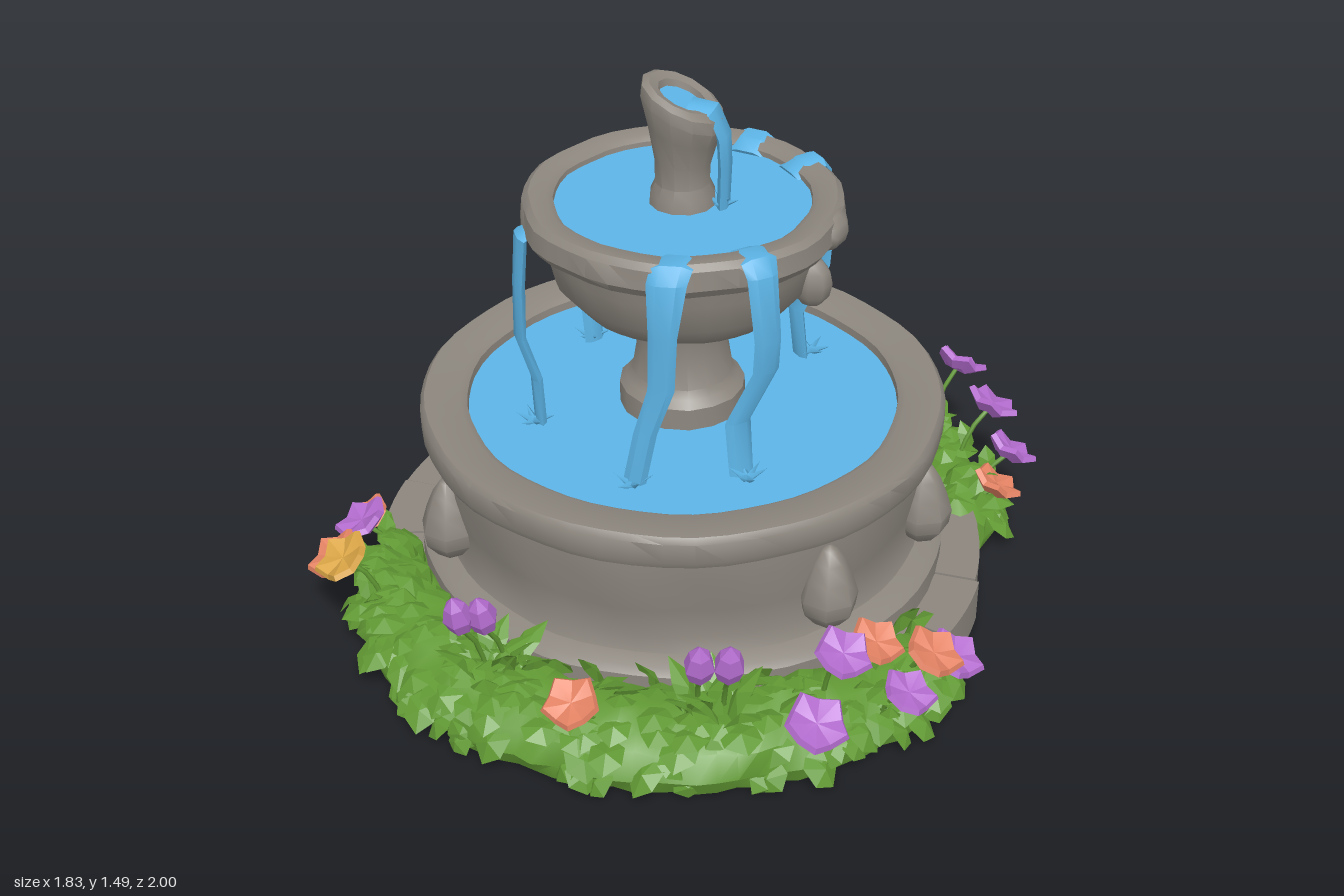
import * as THREE from 'three';
import { mergeGeometries, toCreasedNormals } from 'three/addons/utils/BufferGeometryUtils.js';

const { cos, sin, PI } = Math;
const mat = (name, color, side = THREE.FrontSide) => {
  const m = new THREE.MeshStandardMaterial({ color, side });
  m.name = name;
  return m;
};
const V = (x, y, z) => new THREE.Vector3(x, y, z);

export function createModel() {
  const stone = mat('stone', 0x8c867e), water = mat('water', 0x5cb4e6, THREE.DoubleSide);
  const green = mat('leaf green', 0x629a34, THREE.DoubleSide);
  const petals = {
    p: mat('purple petals', 0xb36cce), o: mat('orange petals', 0xe38263), y: mat('yellow petals', 0xdba646),
  };
  const root = new THREE.Group();
  root.name = 'fountain';
  let seed = 7;
  const rnd = (a = 0, b = 1) => {
    seed = (seed * 16807) % 2147483647;
    return a + (b - a) * seed / 2147483647;
  };
  const add = (name, geo, m) => {
    const mesh = new THREE.Mesh(geo, m);
    mesh.name = name;
    root.add(mesh);
    return mesh;
  };
  const move = (geo, rule) => {
    const p = geo.attributes.position, v = V();
    for (let i = 0; i < p.count; i++) {
      rule(v.fromBufferAttribute(p, i));
      p.setXYZ(i, v.x, v.y, v.z);
    }
    return geo;
  };
  const lathe = (pts, n) => new THREE.LatheGeometry(pts.map(p => new THREE.Vector2(...p)), n);
  // Uneven hand-cut stone
  const rough = (geo, k) => move(geo, v => {
    const a = Math.atan2(v.z, v.x);
    const s = 1 + k * (sin(7 * a + 9 * v.y) + 0.7 * sin(13 * a - 14 * v.y));
    v.x *= s; v.z *= s;
  });
  // Skin over closed cross-sections, with capped ends
  const loft = (rings) => {
    const n = rings[0].length, idx = [], last = (rings.length - 1) * n;
    for (let i = 0; i < rings.length - 1; i++) for (let j = 0; j < n; j++) {
      const a = i * n + j, b = i * n + (j + 1) % n;
      idx.push(a, b, a + n, b, b + n, a + n);
    }
    for (let j = 1; j < n - 1; j++) idx.push(0, j + 1, j, last, last + j, last + j + 1);
    const g = new THREE.BufferGeometry().setFromPoints(rings.flat());
    g.setIndex(idx);
    return toCreasedNormals(g, 0.7);
  };

  // Plinth: core disc and a ring of paving slabs
  add('plinthCore', new THREE.CylinderGeometry(0.815, 0.815, 0.1, 48), stone).position.y = 0.065;
  const slabs = [];
  for (let i = 0; i < 20; i++) {
    const a0 = i / 20 * 2 * PI + 0.003, a1 = (i + 1) / 20 * 2 * PI - 0.003, r = rnd(0.826, 0.838);
    const s = new THREE.Shape();
    s.absarc(0, 0, r, a0, a1, false);
    s.absarc(0, 0, 0.62, a1, a0, true);
    const g = new THREE.ExtrudeGeometry(s, { depth: rnd(0.118, 0.126), bevelEnabled: false, curveSegments: 4 });
    slabs.push(g.rotateX(-PI / 2).translate(0, 0.008, 0));
  }
  add('plinthSlabs', mergeGeometries(slabs), stone);

  // Lower basin
  add('lowerBasin', toCreasedNormals(rough(lathe([[0.715, 0.1], [0.715, 0.185], [0.695, 0.2], [0.65, 0.21], [0.635, 0.25],
    [0.645, 0.34], [0.662, 0.44], [0.662, 0.505], [0.695, 0.515], [0.704, 0.535], [0.704, 0.59], [0.692, 0.605],
    [0.598, 0.605], [0.578, 0.592], [0.573, 0.53]], 56), 0.004), 0.7), stone);
  const disc = (name, r, y) => add(name, new THREE.CircleGeometry(r, 48).rotateX(-PI / 2), water).position.set(0, y, 0);
  disc('lowerWater', 0.578, 0.57);

  // Teardrop bosses around the basin, rounded below and tapering upward
  for (const deg of [0, 40, 140, 180, 220, 320]) {
    const a = deg * PI / 180;
    const b = add('basinBoss', toCreasedNormals(lathe([[0, -0.12], [0.04, -0.105], [0.072, -0.065], [0.078, -0.025],
      [0.062, 0.03], [0.042, 0.08], [0.02, 0.115], [0, 0.125]], 7), 0.9), stone);
    b.position.set(0.67 * cos(a), 0.36, 0.67 * sin(a));
    b.rotation.y = -a;
  }

  // Column and upper bowl
  add('column', toCreasedNormals(rough(lathe([[0.17, 0.5], [0.168, 0.63], [0.15, 0.65], [0.135, 0.67], [0.122, 0.75],
    [0.12, 0.83], [0.135, 0.87]], 16), 0.008), 0.6), stone);
  add('upperBowl', toCreasedNormals(rough(lathe([[0, 0.83], [0.14, 0.83], [0.17, 0.86], [0.28, 0.9], [0.33, 0.96], [0.35, 1.04],
    [0.36, 1.095], [0.4, 1.1], [0.418, 1.125], [0.412, 1.175], [0.395, 1.19], [0.35, 1.188], [0.332, 1.175],
    [0.325, 1.12]], 40), 0.008), 0.7), stone);
  disc('upperWater', 0.335, 1.162);
  const lump = (name, x, y, sx, sy, sz) => {
    const m = add(name, toCreasedNormals(new THREE.SphereGeometry(1, 8, 6), 1), stone);
    m.position.set(x, y, 0);
    m.scale.set(sx, sy, sz);
  };
  lump('bowlKnob', 0.345, 0.98, 0.055, 0.07, 0.045);
  lump('rimKnob', 0.385, 1.138, 0.05, 0.05, 0.08);

  // Slant-cut spout with its pool
  const slant = v => { v.y -= 0.45 * v.x * THREE.MathUtils.clamp((v.y - 1.24) / 0.18, 0, 1); };
  const spout = move(lathe([[0.09, 1.13], [0.085, 1.19], [0.072, 1.22], [0.073, 1.28], [0.09, 1.36], [0.108, 1.42],
    [0.103, 1.45], [0.085, 1.462], [0.062, 1.455], [0.054, 1.42]], 12), slant);
  add('spout', toCreasedNormals(spout, 0.6), stone);
  add('spoutWater', move(new THREE.CircleGeometry(0.06, 12).rotateX(-PI / 2).translate(0, 1.438, 0), slant), water);

  // Falling water: path points are [x, y, z, half width]
  const stream = (name, path, a) => {
    const S = V(-sin(a), 0, cos(a)), P = path.map(p => V(p[0], p[1], p[2]));
    add(name, loft(P.map((p, i) => {
      const T = P[Math.min(i + 1, P.length - 1)].clone().sub(P[Math.max(i - 1, 0)]);
      const N = S.clone().cross(T).normalize();
      return [0, 1, 2, 3, 4, 5].map(j => p.clone().addScaledVector(N, 0.015 * cos((j + 0.5) * PI / 3))
        .addScaledVector(S, path[i][3] * sin((j + 0.5) * PI / 3)));
    })), water);
  };
  const splash = (x, y, z, s) => {
    const spikes = [];
    for (let i = 0; i < 6; i++) {
      spikes.push(new THREE.ConeGeometry(0.013 * s, 0.06 * s, 4).translate(0, 0.035 * s, 0)
        .rotateZ(-rnd(0.8, 1.25)).rotateY(i * PI / 3 + rnd(0, 0.5)));
    }
    add('splash', mergeGeometries(spikes), water).position.set(x, y, z);
  };
  for (const m of [1, -1]) {
    stream('frontStream', [[0.08, 1.16, 0.31 * m, 0.05], [0.09, 1.181, 0.345 * m, 0.052], [0.09, 1.181, 0.395 * m, 0.052],
      [0.085, 1.15, 0.419 * m, 0.05], [0.075, 1.0, 0.42 * m, 0.036], [0.07, 0.85, 0.418 * m, 0.034],
      [0.03, 0.72, 0.425 * m, 0.03], [0.0, 0.56, 0.43 * m, 0.03]], m * 1.4);
    stream('sideStream', [[0.22, 1.16, 0.23 * m, 0.05], [0.252, 1.181, 0.257 * m, 0.05], [0.28, 1.181, 0.293 * m, 0.048],
      [0.295, 1.15, 0.312 * m, 0.042], [0.31, 0.97, 0.305 * m, 0.037], [0.305, 0.88, 0.3 * m, 0.037],
      [0.235, 0.72, 0.3 * m, 0.037], [0.25, 0.56, 0.31 * m, 0.034]], m * 0.8);
    stream('rearStream', [[-0.34, 1.13, 0.2 * m, 0.036], [-0.36, 1.12, 0.225 * m, 0.045], [-0.37, 0.98, 0.225 * m, 0.038],
      [-0.375, 0.82, 0.22 * m, 0.036], [-0.335, 0.7, 0.215 * m, 0.032], [-0.325, 0.56, 0.22 * m, 0.032]], m * (PI - 0.56));
    splash(0, 0.57, 0.44 * m, 0.9);
    splash(0.27, 0.57, 0.33 * m, 0.9);
    splash(-0.34, 0.57, 0.23 * m, 0.9);
  }
  stream('spoutStream', [[0.02, 1.43, 0, 0.045], [0.08, 1.425, 0, 0.045], [0.108, 1.36, 0, 0.045],
    [0.112, 1.28, 0, 0.04], [0.108, 1.15, 0, 0.032]], 0);
  splash(0.1, 1.162, 0, 0.8);

  // Broad folded leaf growing along +z from its base
  const leaf = (len, w, pitch, yaw, pos) => {
    const b = [0, 0, 0], t = [0, -0.12 * len, len], c = [0, 0.015, len * 0.55];
    const l1 = [-w * 0.45, 0, len * 0.25], l2 = [-w * 0.45, -0.005, len * 0.7];
    const r1 = [w * 0.45, 0, len * 0.25], r2 = [w * 0.45, -0.005, len * 0.7];
    const tris = [b, c, r1, r1, c, r2, r2, c, t, b, l1, c, l1, l2, c, l2, t, c];
    const g = new THREE.BufferGeometry();
    g.setAttribute('position', new THREE.Float32BufferAttribute(tris.flat(), 3));
    g.rotateX(-pitch).rotateY(yaw).translate(pos.x, pos.y, pos.z);
    move(g, v => { v.y = Math.max(v.y, 0.012); });
    g.computeVertexNormals();
    return g;
  };

  // Two crescent beds of foliage, front and back, fullest in the middle
  const leaves = [];
  for (const [name, mid] of [['frontBed', PI / 2], ['backBed', -PI / 2]]) {
    const rings = [], span = 1.2;
    for (let i = 0; i <= 44; i++) {
      const u = i / 22 - 1, a = mid + u * span, k = 0.55 + 0.45 * Math.sqrt(Math.max(0, 1 - u ** 6));
      const bulge = 0.02 * cos(u * PI / 2);
      rings.push([-0.5, 0.1, 0.6, 1.1, 1.6, 2.1, 2.7, 3.6].map(f => {
        const r = 0.79 + bulge + (0.145 * k + rnd(-0.012, 0.012)) * cos(f);
        return V(r * cos(a), Math.max(0.012, 0.045 + (0.135 * k + rnd(-0.015, 0.015)) * sin(f)), r * sin(a));
      }));
    }
    add(name, loft(rings), green);
    for (let i = 0; i < 170; i++) {
      const u = rnd(-1, 1), a = mid + u * span, f = rnd(0.25, 2.3), k = 1 - 0.3 * u ** 6;
      const r = 0.785 + 0.02 * cos(u * PI / 2) + 0.13 * k * cos(f);
      const pos = V(r * cos(a), 0.045 + 0.13 * k * sin(f), r * sin(a));
      leaves.push(leaf(rnd(0.085, 0.125), rnd(0.075, 0.11), f - 1.3 + rnd(-0.15, 0.45), PI / 2 - a + rnd(-0.9, 0.9), pos));
    }
  }

  // Flowers: [petal colour, x, height, z, is tulip]
  const open = [[0, 0], [0.04, 0.006], [0.075, 0.032], [0.066, 0.046], [0.03, 0.036], [0, 0.032]];
  const bud = [[0, 0], [0.028, 0.025], [0.038, 0.06], [0.026, 0.1], [0, 0.13]];
  const stems = [];
  const flowers = [
    ['o', 0.0, 0.235, 0.92], ['p', -0.26, 0.32, 0.81, 1], ['p', -0.31, 0.33, 0.84, 1], ['p', 0.29, 0.31, 0.83, 1], ['p', 0.36, 0.32, 0.82, 1],
    ['p', 0.57, 0.21, 0.8], ['p', 0.6, 0.33, 0.67], ['p', 0.76, 0.22, 0.64], ['o', 0.79, 0.24, 0.5], ['p', 0.83, 0.17, 0.41],
    ['o', 0.66, 0.3, 0.57], ['y', -0.73, 0.28, 0.6], ['o', -0.81, 0.19, 0.49], ['p', -0.79, 0.22, 0.36], ['o', -0.8, 0.2, 0.31],
    ['o', 0.01, 0.26, -0.91], ['p', 0.19, 0.31, -0.87, 1], ['p', 0.24, 0.3, -0.85, 1], ['o', 0.36, 0.23, -0.82],
    ['p', 0.46, 0.29, -0.71], ['y', 0.48, 0.24, -0.75],
    ['p', 0.62, 0.31, -0.77], ['p', 0.74, 0.27, -0.63], ['p', 0.82, 0.21, -0.5], ['o', 0.8, 0.16, -0.39], ['p', -0.29, 0.32, -0.85, 1],
    ['p', -0.56, 0.25, -0.82], ['o', -0.58, 0.3, -0.76], ['y', -0.63, 0.26, -0.68], ['p', -0.75, 0.25, -0.64],
    ['o', -0.79, 0.23, -0.53], ['p', -0.83, 0.18, -0.43],
  ];
  for (const [c, x, y, z, tulip] of flowers) {
    const shape = lathe(tulip ? bud : open, tulip ? 6 : 10);
    // Open petals form five lobes that lift at their tips
    if (!tulip) move(shape, v => {
      const lobe = cos(5 * Math.atan2(v.x, v.z));
      v.y += 0.12 * Math.hypot(v.x, v.z) * lobe;
      v.x *= 1 + 0.1 * lobe; v.z *= 1 + 0.1 * lobe;
    });
    const head = add(tulip ? 'tulip' : 'openFlower', toCreasedNormals(shape, 0.3), petals[c]);
    const tilt = tulip ? 0.3 : 0.55;
    head.scale.setScalar(tulip ? 1.05 : rnd(0.85, 1.05));
    head.position.set(x, y, z);
    head.rotation.set(tilt * z, rnd(0, 0.5), -tilt * x);
    const curve = new THREE.QuadraticBezierCurve3(V(x * 0.9, 0.08, z * 0.9), V(x * 0.93, y * 0.85, z * 0.93), V(x, y + 0.005, z));
    stems.push(new THREE.TubeGeometry(curve, 4, 0.007, 5));
    // Upright blades at the foot of each flower
    const n = tulip ? 5 : 2;
    for (let i = 0; i < n; i++) {
      leaves.push(leaf(tulip ? 0.19 : 0.1, tulip ? 0.07 : 0.055, rnd(0.6, 1.2), i * 2 * PI / n + rnd(0, 1), V(x * 0.95, 0.14, z * 0.95)));
    }
  }
  add('stems', mergeGeometries(stems), green);
  add('leaves', mergeGeometries(leaves), green);
  return root;
}
